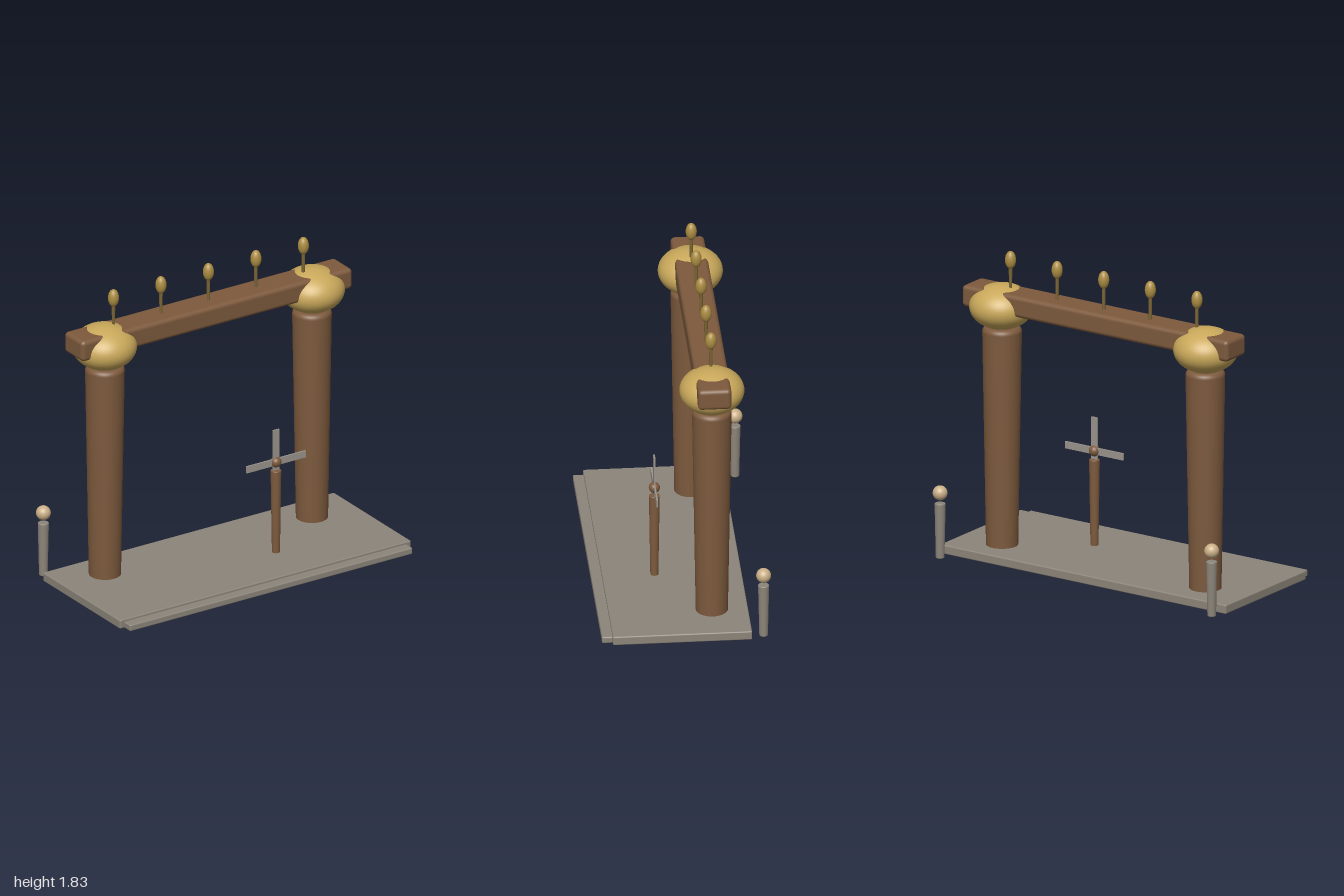
import * as THREE from 'three';
import { RoundedBoxGeometry } from 'three/addons/geometries/RoundedBoxGeometry.js';

const mat = (color) => new THREE.MeshStandardMaterial({ color });
const WOOD = mat(0x7d5a3d), STONE = mat(0x8c857a), GOLD = mat(0xc9a85a);
const BRASS = mat(0xab8c42), ROD = mat(0x7a6433), TAN = mat(0xcbb088), BLADE = mat(0x9a958c);

export function createModel() {
  const model = new THREE.Group();

  function add(name, geometry, material, x, y, z) {
    const mesh = new THREE.Mesh(geometry, material);
    mesh.name = name;
    mesh.position.set(x, y, z);
    model.add(mesh);
    return mesh;
  }

  // Tapered round post with softened rims, standing on its origin
  function post(rBottom, rTop, height, soft) {
    const pts = [new THREE.Vector2(0, 0)];
    for (let i = 0; i <= 5; i++) {
      const a = (i / 5) * Math.PI / 2;
      pts.push(new THREE.Vector2(rBottom - soft * (1 - Math.sin(a)), soft * (1 - Math.cos(a))));
    }
    for (let i = 0; i <= 5; i++) {
      const a = (i / 5) * Math.PI / 2;
      pts.push(new THREE.Vector2(rTop - soft * (1 - Math.cos(a)), height - soft * (1 - Math.sin(a))));
    }
    pts.push(new THREE.Vector2(0, height));
    return new THREE.LatheGeometry(pts, 40);
  }

  function ball(name, material, rx, ry, x, y, z) {
    add(name, new THREE.SphereGeometry(1, 40, 28), material, x, y, z).scale.set(rx, ry, rx);
  }

  const box = (w, h, d, r) => new RoundedBoxGeometry(w, h, d, 3, r);
  const gateZ = -0.168;

  // Floor slab and front step
  add('floorSlab', box(2, 0.055, 0.8, 0.008), STONE, 0, 0.0325, 0.024);
  add('frontStep', box(1.94, 0.04, 0.12, 0.008), STONE, 0, 0.025, 0.425);

  for (const side of [-1, 1]) {
    // Gate columns with flattened capitals
    add('column', post(0.092, 0.114, 1.37, 0.03), WOOD, side * 0.711, 0, gateZ);
    ball('capital', GOLD, 0.187, 0.131, side * 0.714, 1.491, gateZ);
    // Bollards behind the slab
    add('bollard', post(0.025, 0.032, 0.33, 0.006), STONE, side * 0.95, 0.005, -0.445);
    ball('bollardBall', TAN, 0.043, 0.043, side * 0.95, 0.396, -0.445);
  }

  // Crossbeam
  add('crossbeam', box(1.86, 0.128, 0.194, 0.025), WOOD, 0, 1.537, gateZ);

  // Row of finials on the beam
  for (let i = -2; i <= 2; i++) {
    add('finialRod', new THREE.CylinderGeometry(0.011, 0.009, 0.17, 16), ROD, i * 0.326, 1.665, gateZ);
    ball('finialBud', BRASS, 0.032, 0.053, i * 0.326, 1.778, gateZ);
  }

  // Pinwheel on a post
  const px = 0.27, pz = 0.124, hubY = 0.625;
  add('pinwheelPost', post(0.023, 0.031, 0.53, 0.006), WOOD, px, 0.045, pz);
  ball('pinwheelHub', WOOD, 0.032, 0.032, px, hubY, pz);
  for (let i = 0; i < 4; i++) {
    const a = (i * Math.PI) / 2;
    const blade = add('pinwheelBlade', new THREE.BoxGeometry(0.2, 0.042, 0.01), BLADE,
      px + Math.cos(a) * 0.102, hubY + Math.sin(a) * 0.102, pz);
    blade.rotation.z = a;
  }

  return model;
}
